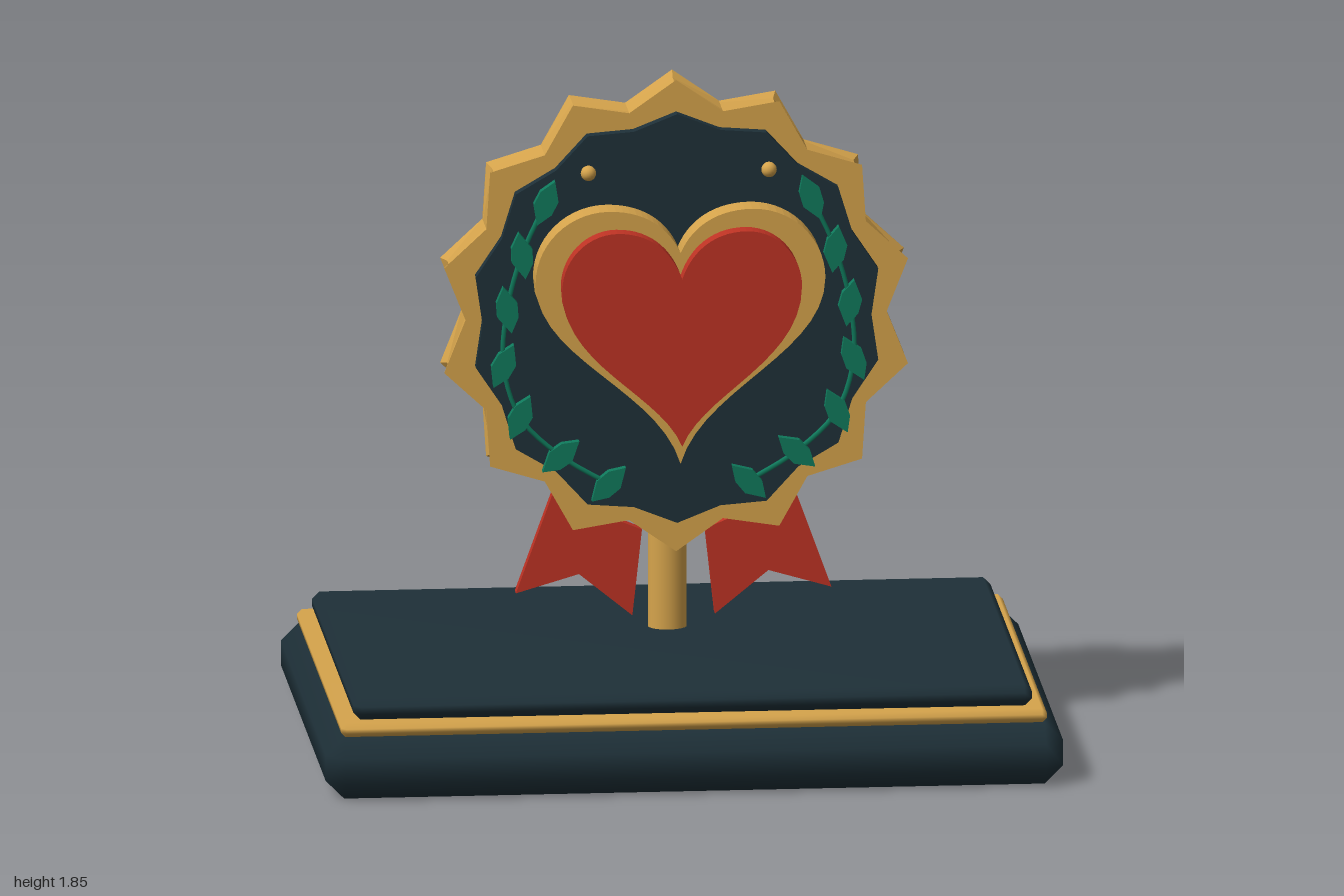
import * as THREE from 'three';
import { mergeVertices } from 'three/addons/utils/BufferGeometryUtils.js';
import { ConvexGeometry } from 'three/addons/geometries/ConvexGeometry.js';

const paint = (color) => new THREE.MeshStandardMaterial({ color });
const GOLD = paint(0xd6a44c), DARK = paint(0x1e3038), RED = paint(0xbf3324), GREEN = paint(0x0f7a5c);
const CENTER_Y = 1.19;

function add(parent, name, geometry, material, x = 0, y = 0, z = 0) {
  const mesh = new THREE.Mesh(geometry, material);
  mesh.name = name;
  mesh.position.set(x, y, z);
  parent.add(mesh);
  return mesh;
}

// Box with chamfered edges and corners, shaded softly
function bevelBox(w, h, d, b) {
  const points = [];
  for (const sx of [-1, 1]) for (const sy of [-1, 1]) for (const sz of [-1, 1]) {
    for (let axis = 0; axis < 3; axis++) {
      const p = [w / 2 - b, h / 2 - b, d / 2 - b];
      p[axis] += b;
      points.push(new THREE.Vector3(p[0] * sx, p[1] * sy, p[2] * sz));
    }
  }
  let geometry = new ConvexGeometry(points);
  geometry.deleteAttribute('normal');
  geometry = mergeVertices(geometry, 1e-4);
  geometry.computeVertexNormals();
  return geometry;
}

// Rosette plate: rings of alternating peaks and valleys, given as [z, peak, valley]
function rosette(sections, peaks = 14) {
  const n = peaks * 2, positions = [], index = [];
  for (const [z, peak, valley] of sections) {
    for (let i = 0; i < n; i++) {
      const a = Math.PI / 2 + (i / n) * Math.PI * 2, r = i % 2 ? valley : peak;
      positions.push(Math.cos(a) * r * 0.985, Math.sin(a) * r, z);
    }
  }
  const last = sections.length - 1, back = n * sections.length, front = back + 1;
  positions.push(0, 0, sections[0][0], 0, 0, sections[last][0]);
  for (let i = 0; i < n; i++) {
    const j = (i + 1) % n;
    for (let k = 0; k < last; k++) {
      const a = k * n + i, b = k * n + j;
      index.push(a, b, b + n, a, b + n, a + n);
    }
    index.push(back, j, i, front, last * n + i, last * n + j);
  }
  const indexed = new THREE.BufferGeometry();
  indexed.setAttribute('position', new THREE.Float32BufferAttribute(positions, 3));
  indexed.setIndex(index);
  const geometry = indexed.toNonIndexed();
  geometry.computeVertexNormals();
  return geometry;
}

const slab = (shape, depth) =>
  new THREE.ExtrudeGeometry(shape, { depth, bevelEnabled: false, curveSegments: 14 });
const polygon = (points) => new THREE.Shape(points.map(([x, y]) => new THREE.Vector2(x, y)));

// Heart from its notch, lobe top, widest point and tip
function heart(notch, lobeX, top, wide, wideY, tip) {
  const s = new THREE.Shape();
  const rise = top - (top - notch) * 0.4, k = 0.55;
  s.moveTo(0, notch);
  s.bezierCurveTo(lobeX * 0.15, rise, lobeX * 0.5, top, lobeX, top);
  s.bezierCurveTo(lobeX + (wide - lobeX) * k, top, wide, wideY + (top - wideY) * k, wide, wideY);
  s.bezierCurveTo(wide, wideY - 0.21, 0.06, 1.02, 0, tip);
  s.bezierCurveTo(-0.06, 1.02, -wide, wideY - 0.21, -wide, wideY);
  s.bezierCurveTo(-wide, wideY + (top - wideY) * k, -lobeX - (wide - lobeX) * k, top, -lobeX, top);
  s.bezierCurveTo(-lobeX * 0.5, top, -lobeX * 0.15, rise, 0, notch);
  return s;
}

export function createModel() {
  const model = new THREE.Group();
  model.name = 'awardTrophy';

  // Stepped base
  add(model, 'baseBlock', bevelBox(2, 0.17, 1.43, 0.05), DARK, 0, 0.085, 0);
  add(model, 'baseTrim', bevelBox(1.915, 0.04, 1.345, 0.014), GOLD, 0, 0.187, 0);
  add(model, 'baseTop', bevelBox(1.84, 0.06, 1.27, 0.02), DARK, 0, 0.235, 0);

  // Upright post behind the medal
  const post = add(model, 'post', new THREE.CylinderGeometry(0.05, 0.05, 0.97, 24), GOLD, 0, 0.74, -0.14);
  post.scale.set(1.05, 1, 0.9);

  // Scalloped medal and its dark face
  add(model, 'medalRim', rosette([
    [0, 0.655, 0.58], [0.02, 0.637, 0.58], [0.1, 0.637, 0.58], [0.122, 0.655, 0.58],
  ]), GOLD, 0, CENTER_Y, 0);
  add(model, 'medalFace', rosette([[0.11, 0.568, 0.535], [0.155, 0.568, 0.535]]), DARK, 0, CENTER_Y, 0);

  // Layered heart
  add(model, 'heartBorder', slab(heart(1.395, 0.195, 1.515, 0.393, 1.32, 0.81), 0.083), GOLD, 0, 0, 0.172);
  add(model, 'heart', slab(heart(1.335, 0.175, 1.465, 0.325, 1.31, 0.87), 0.055), RED, 0, 0, 0.25);

  // Leaf positions on the left side with lean in degrees
  const leaves = [
    [0.36, 1.53, 22], [0.425, 1.385, -8], [0.465, 1.235, -10], [0.475, 1.08, 25],
    [0.43, 0.935, 25], [0.32, 0.825, 50], [0.19, 0.745, 45],
  ];
  const leafShape = polygon([
    [0, -0.065], [0.026, -0.025], [0.03, 0.015], [0, 0.065], [-0.026, 0.025], [-0.03, -0.015],
  ]);
  const leafGeometry = slab(leafShape, 0.026);
  const ribbonShape = (s) => polygon([
    [0.33, 0.68], [0.428, 0.41], [0.257, 0.46], [0.112, 0.342], [0.086, 0.58],
  ].map(([x, y]) => [x * s, y]));

  for (const s of [-1, 1]) {
    const side = s > 0 ? 'left' : 'right';

    // Laurel branch
    const branch = new THREE.Group();
    branch.name = side + 'Laurel';
    model.add(branch);
    const path = new THREE.CatmullRomCurve3(leaves.map(([x, y]) => new THREE.Vector3(x * s, y, 0.195)));
    add(branch, 'stem', new THREE.TubeGeometry(path, 28, 0.007, 6), GREEN);
    for (const [x, y, lean] of leaves) {
      const leaf = add(branch, 'leaf', leafGeometry, GREEN, x * s, y, 0.182);
      leaf.rotation.z = THREE.MathUtils.degToRad(lean * s);
    }

    // Small stud and hanging ribbon tail
    add(model, side + 'Stud', new THREE.SphereGeometry(0.021, 16, 12), GOLD, 0.245 * s, 1.61, 0.2);
    add(model, side + 'Ribbon', slab(ribbonShape(s), 0.035), RED, 0, 0, 0.015);
  }
  return model;
}
